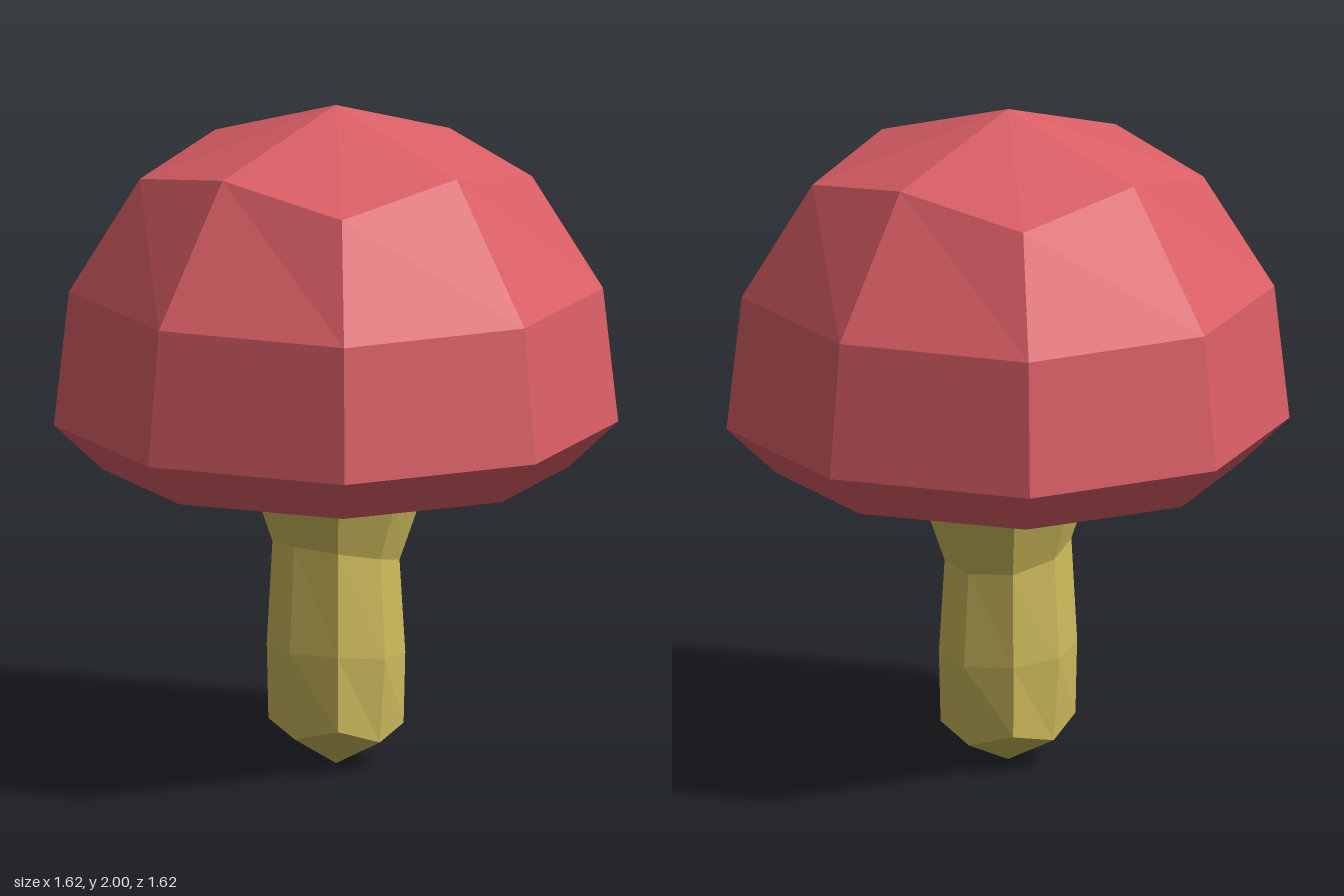
import * as THREE from 'three';

const SIDES = 8;

// Skins a stack of octagonal rings: [axisRadius, diagonalRadius, axisY, diagonalY, tilt]
// The tilt raises the front (+z) of a ring and lowers its back.
function skinRings(name, rings, color) {
  const positions = [];
  const point = (i, j) => {
    const [ra, rd, ya, yd, tilt = 0] = rings[i];
    const angle = (j % SIDES) * Math.PI * 2 / SIDES;
    const r = j % 2 ? rd : ra;
    const z = r * Math.sin(angle);
    return [r * Math.cos(angle), (j % 2 ? yd : ya) + tilt * z, z];
  };
  for (let i = 0; i < rings.length - 1; i++) {
    for (let j = 0; j < SIDES; j++) {
      const a = point(i, j), b = point(i, j + 1);
      const c = point(i + 1, j), d = point(i + 1, j + 1);
      if (rings[i + 1][0] > 0) positions.push(...a, ...c, ...d);
      if (rings[i][0] > 0) positions.push(...a, ...d, ...b);
    }
  }
  const geometry = new THREE.BufferGeometry();
  geometry.setAttribute('position', new THREE.Float32BufferAttribute(positions, 3));
  geometry.computeVertexNormals();
  const mesh = new THREE.Mesh(geometry, new THREE.MeshStandardMaterial({ color, flatShading: true }));
  mesh.name = name;
  return mesh;
}

export function createModel() {
  const group = new THREE.Group();
  group.name = 'mushroom';

  // Domed cap with its flat underside
  group.add(skinRings('cap', [
    [0.50, 0.51, 0.90, 0.90],
    [0.675, 0.69, 0.90, 0.90],
    [0.81, 0.835, 1.035, 1.035],
    [0.765, 0.79, 1.44, 1.44],
    [0.49, 0.58, 1.85, 1.78],
    [0, 0, 2, 2],
  ], 0xdb5f66));

  // Shallow recess under the cap
  group.add(skinRings('gills', [
    [0, 0, 1.0, 1.0],
    [0.41, 0.42, 0.98, 0.98],
    [0.50, 0.51, 0.90, 0.90],
  ], 0xcdbb5c));

  // Stem with a rounded foot and a slanted flare at the top
  group.add(skinRings('stem', [
    [0, 0, 0.005, 0.005],
    [0.178, 0.20, 0.095, 0.135, 0.06],
    [0.20, 0.205, 0.35, 0.355, 0.1],
    [0.18, 0.188, 0.65, 0.65, 0.22],
    [0.25, 0.258, 0.855, 0.855, 0.18],
    [0.34, 0.35, 0.93, 0.93, 0.1],
    [0.40, 0.41, 0.98, 0.98],
  ], 0xcdbb5c));

  return group;
}
